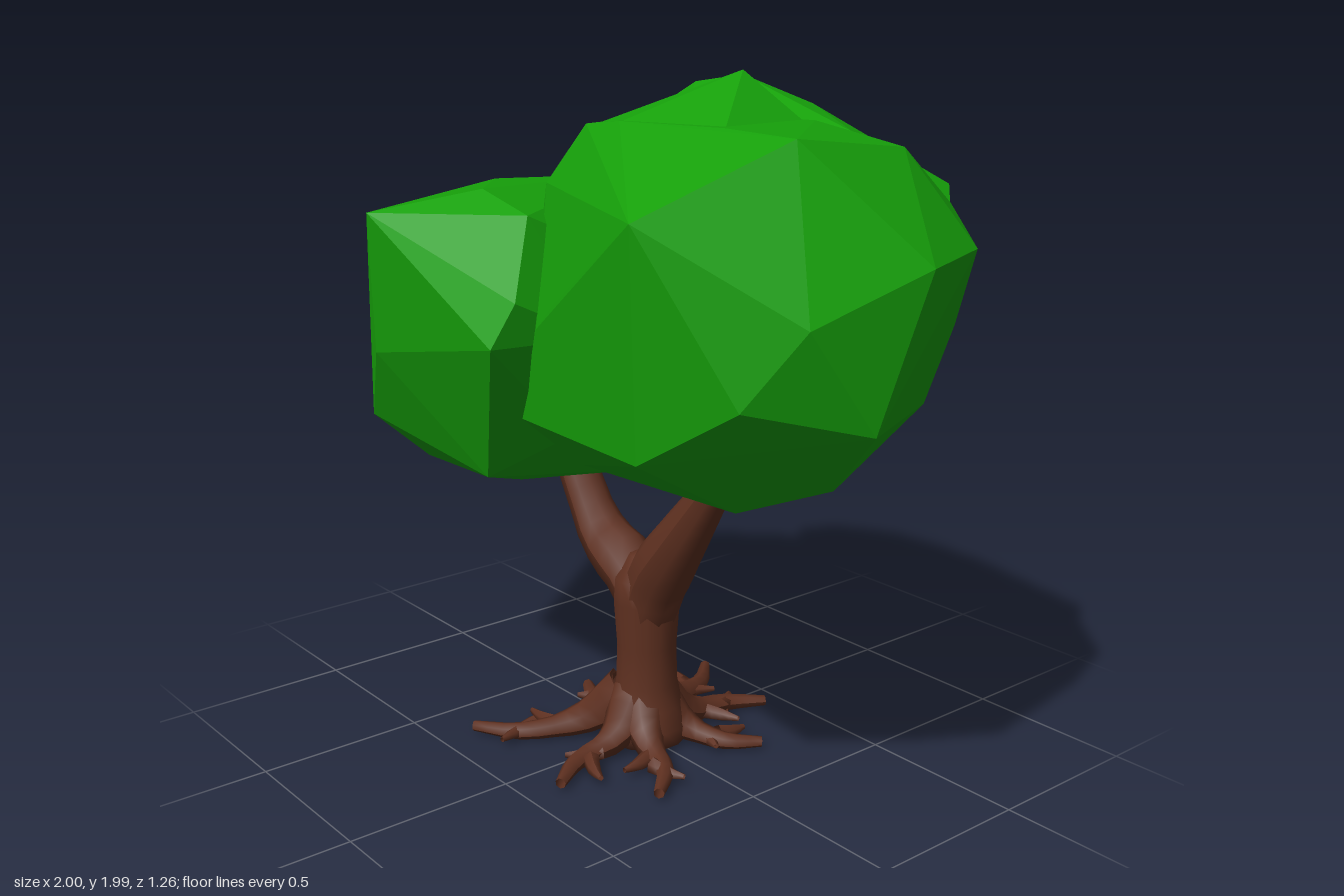
import * as THREE from 'three';
import { ConvexGeometry } from 'three/addons/geometries/ConvexGeometry.js';

const bark = new THREE.MeshStandardMaterial({ color: 0x5e3020, side: THREE.DoubleSide });
const leafGreen = new THREE.MeshStandardMaterial({ color: 0x16a00a, flatShading: true });

// Tapered limb: a tube whose rings are rescaled to the radii given along it
function limb(name, points, radii, segments = 12, sides = 10) {
  const curve = new THREE.CatmullRomCurve3(points.map(p => new THREE.Vector3(...p)));
  const geo = new THREE.TubeGeometry(curve, segments, 1, sides, false);
  const pos = geo.attributes.position;
  const v = new THREE.Vector3();
  for (let i = 0; i <= segments; i++) {
    const c = curve.getPointAt(i / segments);
    const f = (i / segments) * (radii.length - 1);
    const k = Math.min(Math.floor(f), radii.length - 2);
    const r = THREE.MathUtils.lerp(radii[k], radii[k + 1], f - k);
    for (let j = 0; j <= sides; j++) {
      const n = i * (sides + 1) + j;
      v.fromBufferAttribute(pos, n).sub(c).multiplyScalar(r).add(c);
      pos.setXYZ(n, v.x, v.y, v.z);
    }
  }
  geo.computeVertexNormals();
  const mesh = new THREE.Mesh(geo, bark);
  mesh.name = name;
  return mesh;
}

// Faceted leaf clump: the hull around a few corner points
function clump(name, points) {
  const mesh = new THREE.Mesh(new ConvexGeometry(points.map(p => new THREE.Vector3(...p))), leafGreen);
  mesh.name = name;
  return mesh;
}

export function createModel() {
  const tree = new THREE.Group();
  tree.name = 'tree';

  // Trunk with a flared foot
  const profile = [[0.001, 0.01], [0.12, 0.02], [0.125, 0.07], [0.108, 0.13], [0.094, 0.2], [0.09, 0.32],
    [0.1, 0.46], [0.095, 0.53], [0.05, 0.6], [0.001, 0.61]];
  const trunk = new THREE.Mesh(new THREE.LatheGeometry(profile.map(p => new THREE.Vector2(...p)), 14), bark);
  trunk.name = 'trunk';
  trunk.position.x = 0.025;
  tree.add(trunk);

  // Forked branches
  tree.add(limb('rightBranch', [[0.04, 0.42, 0], [-0.05, 0.53, 0], [-0.185, 0.61, 0], [-0.33, 0.82, 0], [-0.45, 1.0, 0]],
    [0.08, 0.09, 0.066, 0.06, 0.05]));
  tree.add(limb('leftBranch', [[0.03, 0.42, 0], [0.08, 0.54, 0], [0.2, 0.7, 0.01], [0.34, 0.89, 0.01], [0.43, 1.02, 0.01]],
    [0.09, 0.095, 0.075, 0.053, 0.04]));

  // Spreading roots, each with a shoot on both sides
  const roots = new THREE.Group();
  roots.name = 'roots';
  const tips = [[-0.33, 0.39], [0.13, 0.4], [0.35, 0.22], [0.3, -0.22], [0.1, -0.42], [-0.22, -0.45], [-0.35, -0.06]];
  tips.forEach(([x, z], i) => {
    const bend = i % 2 ? 0.08 : -0.08;
    roots.add(limb('root', [[x * 0.1, 0.15, z * 0.1], [x * 0.35, 0.06, z * 0.35],
      [x * 0.7 - z * bend, 0.035, z * 0.7 + x * bend], [x, 0.03, z]],
    [0.08, 0.055, 0.033, 0.025, 0.016], 10, 7));
    for (const side of [-1, 1]) {
      const t = side > 0 ? 0.5 : 0.64;
      roots.add(limb('rootShoot', [[x * t, 0.04, z * t], [x * (t + 0.1) - side * z * 0.1, 0.035, z * (t + 0.1) + side * x * 0.1],
        [x * (t + 0.17) - side * z * 0.2, 0.035, z * (t + 0.17) + side * x * 0.2]], [0.026, 0.02, 0.008], 4, 6));
    }
  });
  tree.add(roots);

  // Leaf clumps
  tree.add(clump('leftFoliage', [
    [0.67, 1.7, 0.58], [0.62, 1.11, 0.52], [0.22, 1.43, 0.47], [0.12, 1.35, 0.45], [-0.03, 1.07, 0.4],
    [0.86, 1.27, 0.41], [0.95, 1.46, 0.28], [0.98, 1.18, 0.08], [1.0, 1.57, -0.08], [0.77, 1.87, 0.16],
    [0.78, 1.83, -0.2], [0.91, 1.58, -0.34], [0.75, 1.67, -0.42], [0.8, 1.36, -0.4], [0.76, 1.15, -0.34],
    [0.57, 0.9, 0.15], [0.77, 0.98, 0], [-0.02, 0.9, 0.2], [0.3, 0.92, -0.2], [-0.06, 1.7, 0.28],
    [0.04, 1.86, 0.22], [0.22, 1.88, 0.25], [0.54, 1.88, 0.18], [0.1, 1.88, -0.1],
    [-0.06, 1.75, -0.18], [0.52, 1.88, -0.15], [0.4, 1.5, -0.53], [0.56, 1.07, -0.4], [0.12, 1.1, -0.46]]));
  tree.add(clump('foliagePeak', [
    [0.31, 2.0, -0.09], [0.14, 1.95, -0.09], [0.06, 1.86, 0.2], [0.22, 1.88, 0.24], [0.53, 1.87, 0.17],
    [0.5, 1.87, -0.14], [0.28, 1.82, -0.26], [0.0, 1.8, -0.16], [0.3, 1.6, 0]]));
  tree.add(clump('rightFoliage', [
    [-0.42, 1.61, 0.63], [-0.19, 1.68, 0.4], [0.02, 1.63, 0.4], [0.1, 1.42, 0.5], [0.07, 1.3, 0.56],
    [-0.48, 1.2, 0.585], [-0.68, 0.96, 0.49], [-0.17, 0.87, 0.42], [-0.17, 0.78, -0.17], [-0.25, 0.81, 0.25],
    [-0.55, 0.81, 0.05], [-0.55, 0.84, 0.38], [-0.95, 1.17, 0.2], [-0.98, 1.32, 0.25], [-1, 1.38, -0.12],
    [-0.92, 1.52, -0.12], [-0.7, 1.57, 0.18], [-0.5, 1.66, 0.15], [-0.42, 1.65, -0.25], [-0.5, 1.42, -0.62],
    [-0.48, 1.2, -0.62], [-0.66, 1.06, -0.53], [0.05, 1.09, -0.54], [0.05, 1.2, -0.55], [-0.34, 0.82, -0.38],
    [0, 1.0, 0.25], [-0.74, 0.96, -0.34], [0.12, 1.3, 0.25], [0, 1.0, -0.28], [-0.95, 1.16, -0.12]]));
  tree.add(clump('backFoliage', [
    [-0.27, 1.93, -0.43], [-0.06, 1.96, -0.43], [0.2, 1.89, -0.46], [0.5, 1.84, -0.31], [0.74, 1.66, -0.43],
    [0.64, 1.7, -0.54], [-0.5, 1.8, -0.42], [-0.63, 1.65, -0.4], [-0.5, 1.74, -0.26], [-0.1, 1.84, -0.23],
    [0.12, 1.84, -0.21], [-0.48, 1.6, -0.625], [0.1, 1.7, -0.635], [0.2, 1.42, -0.61], [0.5, 1.48, -0.56],
    [0.45, 1.4, -0.4], [-0.42, 1.4, -0.6], [-0.57, 1.45, -0.4], [-0.05, 1.32, -0.5], [0.7, 1.54, -0.46],
    [-0.3, 1.4, -0.22]]));
  return tree;
}
